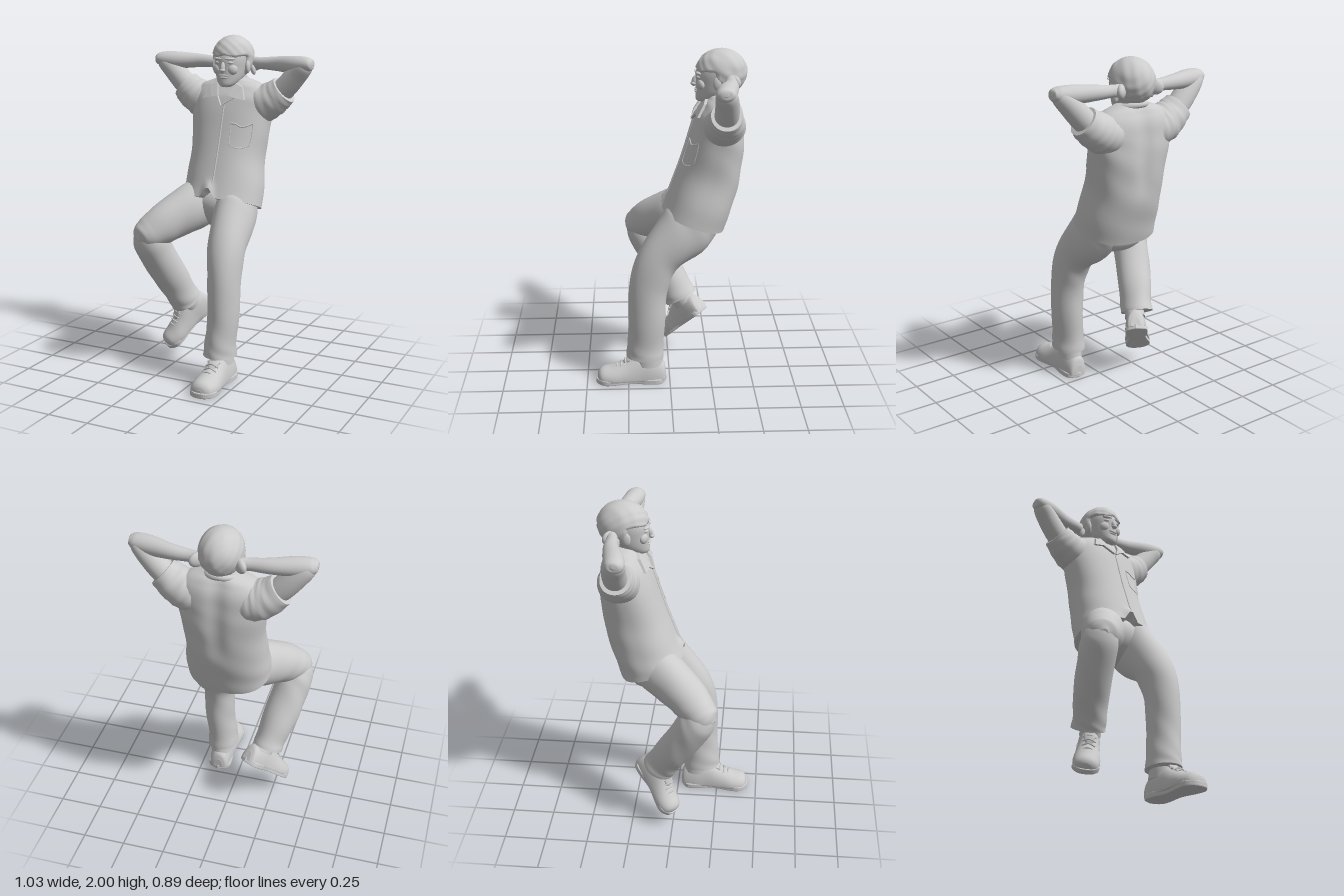
import * as THREE from 'three';

const mat = new THREE.MeshStandardMaterial({ color: 0xcccccc, side: THREE.DoubleSide });
const V = (x, y, z) => new THREE.Vector3(x, y, z);
const smooth = THREE.MathUtils.smoothstep;

// Smooth skin through elliptical sections [x, y, z, halfWidth, halfDepth].
// hint: direction of the depth axis; axis: fixed ring normal (otherwise the path tangent).
function loft(sections, { hint = V(0, 0, 1), axis = null, n = 40, steps = 6, power = 1, fold = 0, rule = null } = {}) {
  const path = new THREE.CatmullRomCurve3(sections.map(s => V(s[0], s[1], s[2])), false, 'catmullrom');
  const size = new THREE.CatmullRomCurve3(sections.map(s => V(s[3], s[4] ?? s[3], 0)), false, 'catmullrom');
  const rows = (sections.length - 1) * steps, pos = [], idx = [];
  const bend = c => Math.sign(c) * Math.abs(c) ** power;
  for (let i = 0; i <= rows; i++) {
    const t = i / rows, c = path.getPoint(t), r = size.getPoint(t);
    const T = axis ? axis.clone() : path.getTangent(t);
    const D = hint.clone().addScaledVector(T, -T.dot(hint)).normalize();
    const W = D.clone().cross(T);
    for (let j = 0; j < n; j++) {
      const a = j / n * Math.PI * 2;
      // soft diagonal cloth folds
      const k = 1 + fold * Math.sin(t * 26 + 2.2 * Math.sin(a + t * 5)) * Math.sin(a * 2 + t * 7);
      const p = c.clone().addScaledVector(W, bend(Math.cos(a)) * r.x * k).addScaledVector(D, bend(Math.sin(a)) * r.y * k);
      if (rule) rule(p);
      pos.push(p.x, p.y, p.z);
    }
  }
  for (let i = 0; i < rows; i++) for (let j = 0; j < n; j++) {
    const a = i * n + j, b = i * n + (j + 1) % n;
    idx.push(a, b, a + n, b, b + n, a + n);
  }
  // end caps with their own vertices, so the rims stay crisp
  for (const row of [0, rows]) {
    const start = pos.length / 3, c = path.getPoint(row / rows);
    for (let j = 0; j < n; j++) pos.push(...pos.slice((row * n + j) * 3, (row * n + j) * 3 + 3));
    pos.push(c.x, c.y, c.z);
    for (let j = 0; j < n; j++) {
      const a = start + j, b = start + (j + 1) % n;
      idx.push(start + n, ...(row ? [a, b] : [b, a]));
    }
  }
  const g = new THREE.BufferGeometry();
  g.setAttribute('position', new THREE.Float32BufferAttribute(pos, 3));
  g.setIndex(idx);
  g.computeVertexNormals();
  return g;
}

function add(parent, name, geometry) {
  const m = new THREE.Mesh(geometry, mat);
  m.name = name;
  parent.add(m);
  return m;
}

function blob(parent, name, [x, y, z], [a, b, c], rot = [0, 0, 0]) {
  const m = add(parent, name, new THREE.SphereGeometry(1, 24, 16));
  m.position.set(x, y, z);
  m.scale.set(a, b, c);
  m.rotation.set(...rot);
  return m;
}

const tube = (pts, r) => new THREE.TubeGeometry(new THREE.CatmullRomCurve3(pts), 32, r, 8);

function makeShoe(name) {
  const g = new THREE.Group();
  g.name = name;
  // upper: sections along the length, flattened underneath
  add(g, 'shoeUpper', loft([[0, .03, -.2, .03, .05], [0, .03, -.185, .055, .1], [0, .03, -.12, .067, .145], [0, .03, -.04, .068, .145],
    [0, .03, .04, .075, .105], [0, .03, .12, .082, .075], [0, .03, .18, .07, .06], [0, .03, .205, .045, .04], [0, .03, .213, .015, .015]],
  { axis: V(0, 0, 1), hint: V(0, 1, 0), rule: p => { p.y = Math.max(p.y, .02); } }));
  // sole outline, narrower at the waist
  const s = new THREE.Shape();
  s.setFromPoints(new THREE.SplineCurve([[0, .2], [.06, .17], [.067, .1], [.053, 0], [.074, -.11], [.074, -.17], [.04, -.21], [0, -.218],
    [-.04, -.21], [-.074, -.17], [-.074, -.11], [-.053, 0], [-.067, .1], [-.06, .17], [0, .2]].map(p => new THREE.Vector2(...p))).getPoints(56));
  const sole = add(g, 'shoeSole', new THREE.ExtrudeGeometry(s, { depth: .02, bevelSize: .004, bevelThickness: .006, bevelSegments: 2 }));
  sole.rotation.x = -Math.PI / 2;
  sole.position.y = .006;
  // ankle collar, tongue and laces
  add(g, 'shoeCollar', loft([[0, .11, -.1, .066, .085], [0, .165, -.1, .062, .08], [0, .2, -.1, .055, .07]], { axis: V(0, 1, 0) }));
  blob(g, 'shoeTongue', [0, .15, .015], [.035, .014, .055], [.6, 0, 0]);
  for (let i = 0; i < 4; i++) {
    const z = .015 + i * .026, y = .163 - i * .016;
    add(g, 'lace', tube([V(-.04, y - .018, z), V(0, y, z + .004), V(.04, y - .018, z)], .005));
  }
  return g;
}

export function createModel() {
  const model = new THREE.Group();

  // Shirt body, with the front hem parting in the middle
  const shirt = add(model, 'shirt', loft([[0, 1.01, -.14, .243, .195], [0, 1.12, -.18, .238, .19], [0, 1.27, -.225, .225, .185],
    [0, 1.42, -.26, .235, .17], [0, 1.55, -.28, .25, .152], [0, 1.64, -.295, .25, .13], [0, 1.705, -.3, .2, .1],
    [0, 1.74, -.3, .115, .075], [0, 1.755, -.3, .06, .055]], {
    n: 96, power: .88, fold: .013,
    rule: p => {
      if (p.z > -.1) p.y += .075 * Math.max(0, 1 - Math.abs(p.x + .01) / .05) * (1 - smooth(p.y, 1.06, 1.2));
      // hollow down the spine between the shoulder blades
      if (p.z < -.3) p.z += .016 * Math.exp(-((p.x / .05) ** 2)) * smooth(p.y, 1.2, 1.4);
    } }));
  shirt.updateMatrixWorld();

  // Helper that finds the front of the shirt, for details lying on it
  const ray = new THREE.Raycaster();
  const onShirt = (x, y) => {
    ray.set(V(x, y, 2), V(0, 0, -1));
    const hit = ray.intersectObject(shirt)[0];
    return hit ? hit.point.z : -.25;
  };
  const seam = (name, pts, r) => add(model, name, tube(pts.map(([x, y]) => V(x, y, onShirt(x, y))), r));
  seam('placket', Array.from({ length: 14 }, (_, i) => [.012, 1.6 - i * .034]), .005);
  seam('pocketTop', [[.07, 1.5], [.1, 1.495], [.13, 1.48], [.16, 1.485], [.19, 1.5]], .005);
  seam('pocketEdge', [[.07, 1.5], [.072, 1.43], [.08, 1.375], [.13, 1.36], [.18, 1.375], [.19, 1.43], [.19, 1.5]], .003);

  // Collar: two lapels laid on the chest and a band round the neck
  for (const s of [-1, 1]) {
    const flap = new THREE.Shape([[.06, 1.725], [.105, 1.705], [.135, 1.635], [.075, 1.645], [.004, 1.6], [.035, 1.655]]
      .map(([x, y]) => new THREE.Vector2(x * s, y)));
    const g = new THREE.ExtrudeGeometry(flap, { depth: .016, bevelEnabled: false });
    const p = g.attributes.position;
    for (let i = 0; i < p.count; i++) p.setZ(i, p.getZ(i) + onShirt(p.getX(i), p.getY(i)) + .002);
    g.computeVertexNormals();
    add(model, 'collarLapel', g);
  }
  const band = add(model, 'collarBand', new THREE.TorusGeometry(.082, .018, 12, 40));
  band.position.set(0, 1.725, -.29);
  band.rotation.x = Math.PI / 2 + .3;

  // Neck and face
  add(model, 'neck', loft([[0, 1.64, -.3, .07, .075], [0, 1.72, -.29, .064, .068], [0, 1.82, -.29, .066, .07]]));
  add(model, 'head', loft([[0, 1.703, -.205, .028, .04], [0, 1.718, -.22, .052, .07], [0, 1.755, -.25, .077, .1], [0, 1.81, -.265, .092, .115],
    [0, 1.87, -.272, .1, .122], [0, 1.93, -.285, .095, .105], [0, 1.965, -.29, .06, .07]], { axis: V(0, 1, 0) }));
  blob(model, 'nose', [0, 1.82, -.146], [.014, .034, .018], [-.3, 0, 0]);
  blob(model, 'noseTip', [0, 1.803, -.137], [.018, .012, .016]);
  blob(model, 'chin', [0, 1.72, -.168], [.028, .018, .017]);
  blob(model, 'upperLip', [0, 1.772, -.153], [.03, .006, .01]);
  blob(model, 'lowerLip', [0, 1.759, -.154], [.025, .007, .01]);
  for (const s of [-1, 1]) {
    blob(model, 'brow', [s * .04, 1.868, -.16], [.032, .008, .013], [0, s * .35, 0]);
    blob(model, 'eye', [s * .04, 1.846, -.164], [.018, .009, .012], [0, s * .35, 0]);
    blob(model, 'cheek', [s * .05, 1.805, -.176], [.03, .03, .02], [0, s * .5, 0]);
    blob(model, 'ear', [s * .108, 1.82, -.265], [.014, .038, .025]);
  }

  // Hair: lumpy cap drawn in where the face is open
  const hair = new THREE.SphereGeometry(1, 64, 48), hp = hair.attributes.position;
  for (let i = 0; i < hp.count; i++) {
    const n = V(0, 0, 0).fromBufferAttribute(hp, i);
    const line = .13 + .04 * Math.sin(n.x * 7 + 1);
    const open = smooth(n.z, .2, .45) * (1 - smooth(n.y, line - .12, line));
    const lump = .02 * Math.sin(n.x * 11 + n.y * 6) * Math.sin(n.z * 10 - n.y * 8) * (1 - n.y ** 4);
    n.multiplyScalar((1 + lump) * (1 - .4 * open));
    hp.setXYZ(i, n.x * .122, 1.869 + n.y * .131, -.294 + n.z * .146);
  }
  hair.computeVertexNormals();
  add(model, 'hair', hair);

  // Arms raised, hands behind the head
  for (const s of [-1, 1]) {
    const m = list => list.map(([x, ...rest]) => [x * s, ...rest]);
    add(model, 'sleeve', loft(m([[.1, 1.575, -.3, .1, .11], [.19, 1.6, -.3, .112, .118], [.265, 1.64, -.3, .102, .105], [.325, 1.69, -.298, .088, .085]]),
      { fold: .03 }));
    add(model, 'upperArm', loft(m([[.26, 1.63, -.3, .066], [.34, 1.71, -.3, .067], [.405, 1.78, -.295, .062, .064],
      [.455, 1.83, -.285, .052, .058], [.478, 1.852, -.28, .034, .04], [.486, 1.86, -.28, .01]])));
    add(model, 'forearm', loft(m([[.512, 1.85, -.278, .008], [.503, 1.849, -.278, .03, .04], [.47, 1.843, -.28, .045, .054], [.39, 1.838, -.295, .052, .056],
      [.27, 1.838, -.325, .043, .043], [.17, 1.836, -.333, .035, .034], [.12, 1.835, -.34, .036, .03]])));
    blob(model, 'hand', [s * .115, 1.83, -.352], [.05, .042, .026], [0, s * .8, 0]);
    blob(model, 'thumb', [s * .118, 1.8, -.315], [.016, .034, .016], [0, 0, s * .3]);
  }

  // Trousers: seat, standing left leg, bent right leg
  blob(model, 'trouserSeat', [0, 1.0, -.14], [.215, .135, .165], [-.4, 0, 0]);
  add(model, 'leftTrouserLeg', loft([[.105, 1.06, -.16, .11, .15], [.112, .97, -.095, .118, .165], [.13, .81, .055, .11, .127], [.143, .64, .122, .096, .116],
    [.146, .42, .136, .09, .108], [.133, .25, .146, .09, .108], [.13, .165, .15, .096, .114]], { n: 56, fold: .022 }));
  add(model, 'rightThigh', loft([[-.08, 1.035, -.16, .12, .15], [-.16, .985, -.04, .125, .143], [-.255, .915, .085, .115, .122],
    [-.32, .86, .16, .102, .103], [-.355, .832, .215, .075, .075], [-.37, .82, .243, .02]], { n: 56, hint: V(0, 1, 0), fold: .018 }));
  add(model, 'rightShin', loft([[-.345, .91, .2, .03], [-.34, .89, .19, .065], [-.333, .83, .16, .1], [-.318, .73, .11, .107],
    [-.273, .56, .01, .104, .1], [-.235, .44, -.055, .092, .1], [-.22, .385, -.085, .093, .104]], { n: 56, fold: .025 }));

  // Shoes: left flat on the ground, right hanging with its toe down
  const left = makeShoe('leftShoe');
  left.position.set(.135, 0, .225);
  const right = makeShoe('rightShoe');
  const toe = V(-.49, -.67, .56).normalize();
  const up = V(-.32, .73, .59).addScaledVector(toe, -V(-.32, .73, .59).dot(toe)).normalize();
  right.quaternion.setFromRotationMatrix(new THREE.Matrix4().makeBasis(up.clone().cross(toe), up, toe));
  right.position.set(-.2, .225, -.12);
  right.scale.setScalar(.93);
  model.add(left, right);
  return model;
}
